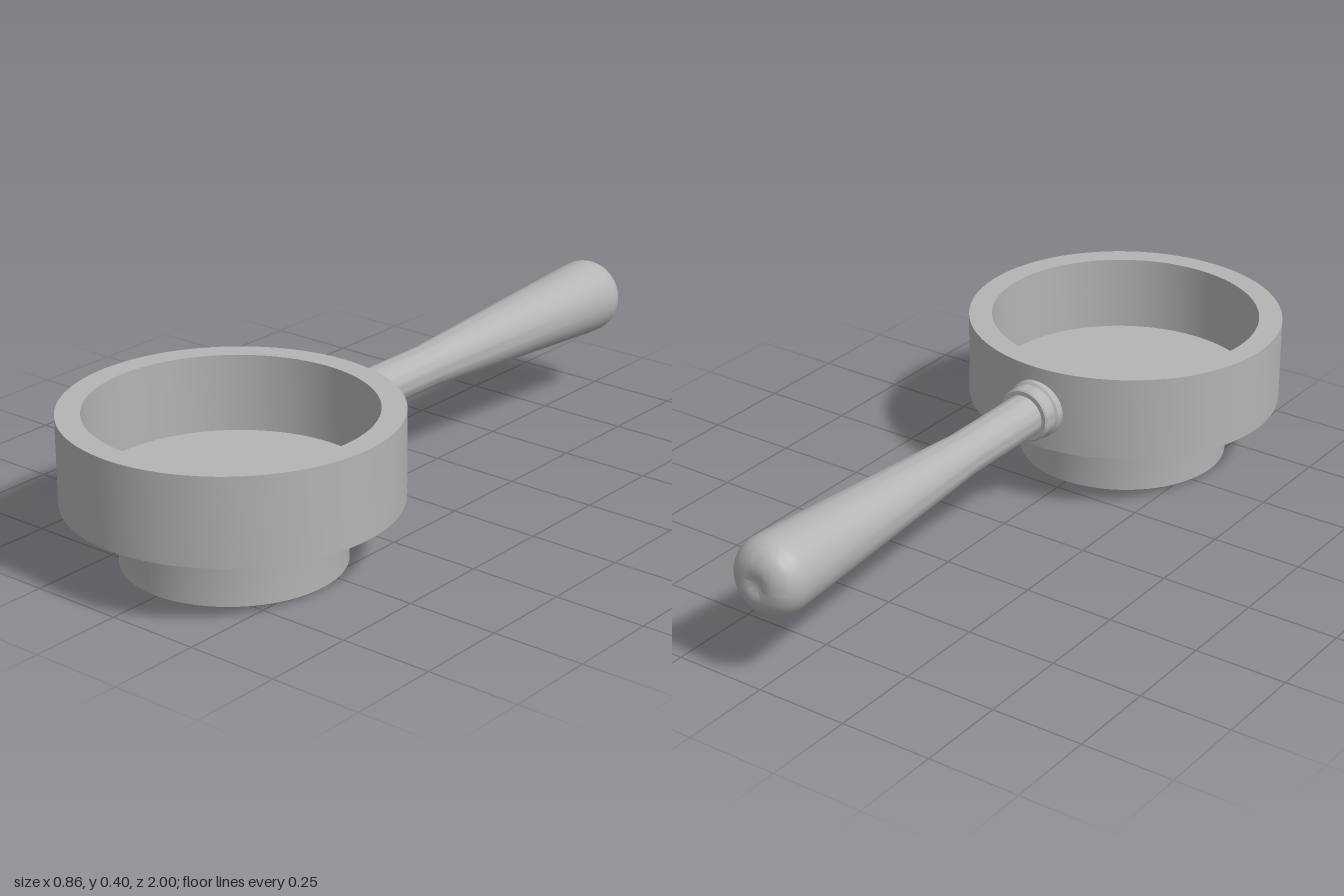
import * as THREE from 'three';
import { toCreasedNormals } from 'three/addons/utils/BufferGeometryUtils.js';

const metal = new THREE.MeshStandardMaterial({ color: 0xb4b4b4 });
metal.name = 'grey metal';

// Turned part from [radius, height] pairs, smooth except at sharp edges
function turned(name, pairs, segments) {
  const points = pairs.map(([r, h]) => new THREE.Vector2(r, h));
  const geometry = toCreasedNormals(new THREE.LatheGeometry(points, segments), 0.6);
  const mesh = new THREE.Mesh(geometry, metal);
  mesh.name = name;
  return mesh;
}

// Quarter arc of [radius, height] pairs
function arc(cx, cy, rx, ry, from, to, steps) {
  return Array.from({ length: steps + 1 }, (_, i) => {
    const a = from + (to - from) * i / steps;
    return [cx + rx * Math.cos(a), cy + ry * Math.sin(a)];
  });
}

export function createModel() {
  const group = new THREE.Group();
  group.name = 'filterHolder';

  // Round basket: base, flared fillet, shallow cone, wall, rim and sunken floor
  const basket = turned('basket', [
    [0, 0], [0.282, 0], [0.286, 0.004], [0.286, 0.12],
    ...arc(0.326, 0.12, 0.04, 0.043, Math.PI, Math.PI / 2, 6),
    [0.428, 0.171], [0.428, 0.402], [0.365, 0.402], [0.365, 0.195], [0, 0.195],
  ], 96);
  basket.position.z = 0.572;
  group.add(basket);

  // Handle parts share an axis running towards the back
  const handle = new THREE.Group();
  handle.name = 'handle';
  handle.rotation.x = -Math.PI / 2;
  handle.position.y = 0.283;
  group.add(handle);

  // Stepped collar, seated in the basket wall
  handle.add(turned('collar', [
    [0, -0.19], [0.08, -0.19], [0.08, -0.13], [0.074, -0.125],
    [0.074, -0.09], [0.07, -0.086], [0.05, -0.086],
  ], 48));

  // Straight neck, tapered grip and rounded end with a small dimple
  handle.add(turned('grip', [
    [0.058, -0.12], [0.058, 0.19], [0.061, 0.23], [0.101, 0.88],
    ...arc(0.035, 0.927, 0.068, 0.073, 0, Math.PI / 2, 10),
    [0.022, 0.998], [0.01, 0.992], [0, 0.99],
  ], 48));

  return group;
}
